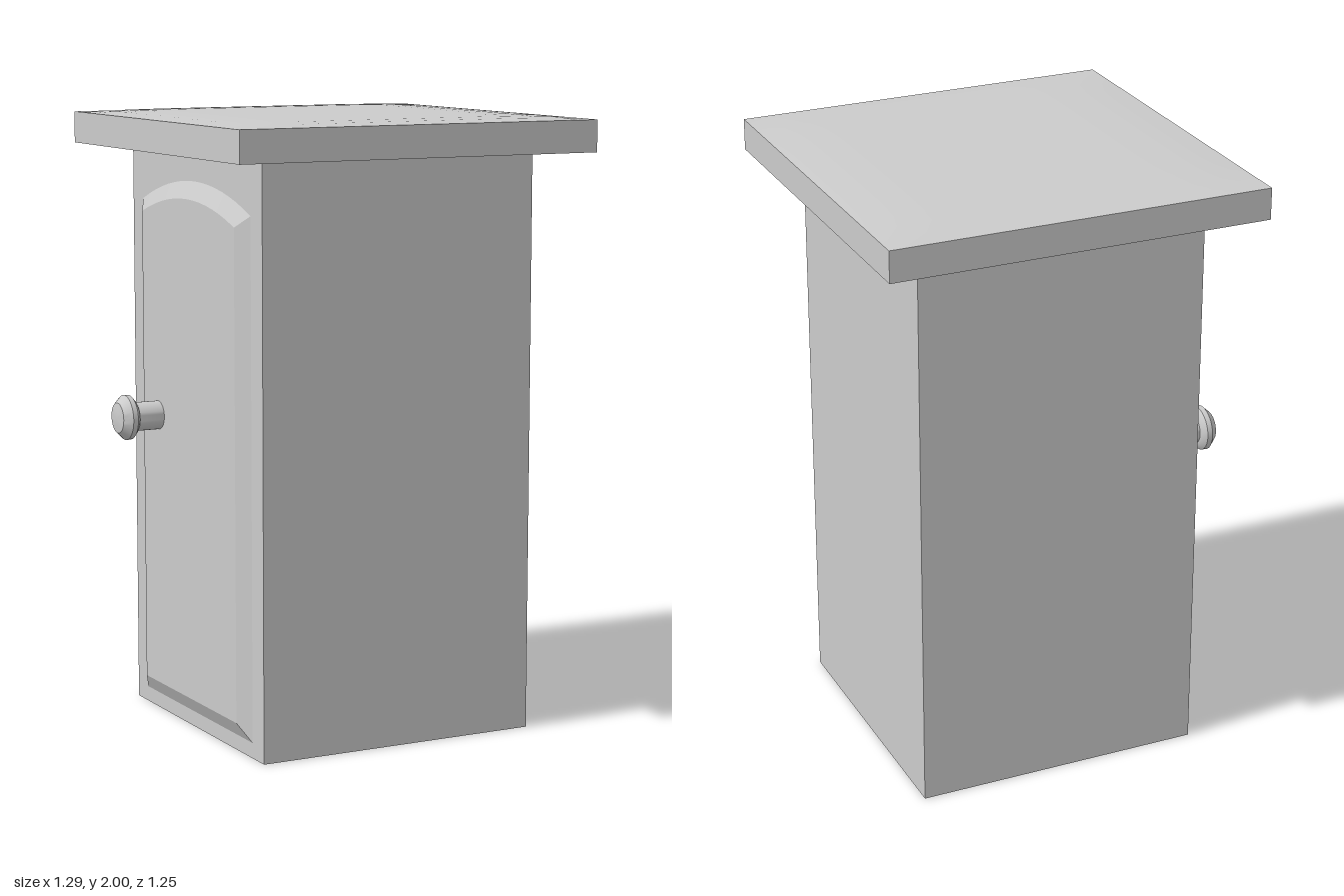
import * as THREE from 'three';
import { toCreasedNormals } from 'three/addons/utils/BufferGeometryUtils.js';

const material = new THREE.MeshStandardMaterial({ color: 0xcccccc });
const CX = 0.015; // cabinet axis, shifted to balance the knob

function part(name, geometry, x, y, z) {
  const mesh = new THREE.Mesh(geometry, material);
  mesh.name = name;
  mesh.position.set(x, y, z);
  return mesh;
}

// Top slab with a barely pillowed upper face
function slabGeometry(width, height, rise) {
  const geo = new THREE.BoxGeometry(width, height, width, 16, 1, 16);
  const pos = geo.attributes.position;
  const fall = (t) => 1 - Math.pow(Math.abs(t) / (width / 2), 6);
  for (let i = 0; i < pos.count; i++) {
    if (pos.getY(i) > 0) {
      pos.setY(i, height / 2 + rise * fall(pos.getX(i)) * fall(pos.getZ(i)));
    }
  }
  geo.computeVertexNormals();
  return geo;
}

// Raised door panel: arched top, wide chamfer all round
function panelGeometry() {
  const half = 0.4, bottom = 0.05, spring = 1.71, crown = 1.79;
  const shape = new THREE.Shape();
  shape.moveTo(-half, bottom);
  shape.lineTo(half, bottom);
  shape.lineTo(half, spring);
  shape.quadraticCurveTo(0, 2 * crown - spring, -half, spring);
  shape.closePath();
  const geo = new THREE.ExtrudeGeometry(shape, {
    depth: 0.05, curveSegments: 16,
    bevelThickness: 0.03, bevelSize: 0.055, bevelOffset: -0.055, bevelSegments: 1,
  });
  geo.rotateY(-Math.PI / 2); // face towards -x
  return toCreasedNormals(geo, 0.3);
}

// Turned knob: stem and chamfered head, pointing to -x
function knobGeometry() {
  const profile = [
    [0, 0], [0.047, 0], [0.047, 0.09], [0.058, 0.092], [0.073, 0.105],
    [0.074, 0.122], [0.05, 0.147], [0.025, 0.151], [0, 0.152],
  ].map(([r, h]) => new THREE.Vector2(r, h));
  const geo = new THREE.LatheGeometry(profile, 32);
  geo.rotateZ(Math.PI / 2);
  return toCreasedNormals(geo, 0.6);
}

export function createModel() {
  const group = new THREE.Group();
  group.name = 'cabinet';

  group.add(part('cabinetBody', new THREE.BoxGeometry(0.96, 1.89, 0.96), CX, 0.945, 0));
  group.add(part('topSlab', slabGeometry(1.255, 0.103, 0.012), CX, 1.9365, 0));
  group.add(part('doorPanel', panelGeometry(), -0.415, 0, 0));
  group.add(part('doorKnob', knobGeometry(), -0.494, 1.01, -0.23));

  return group;
}
